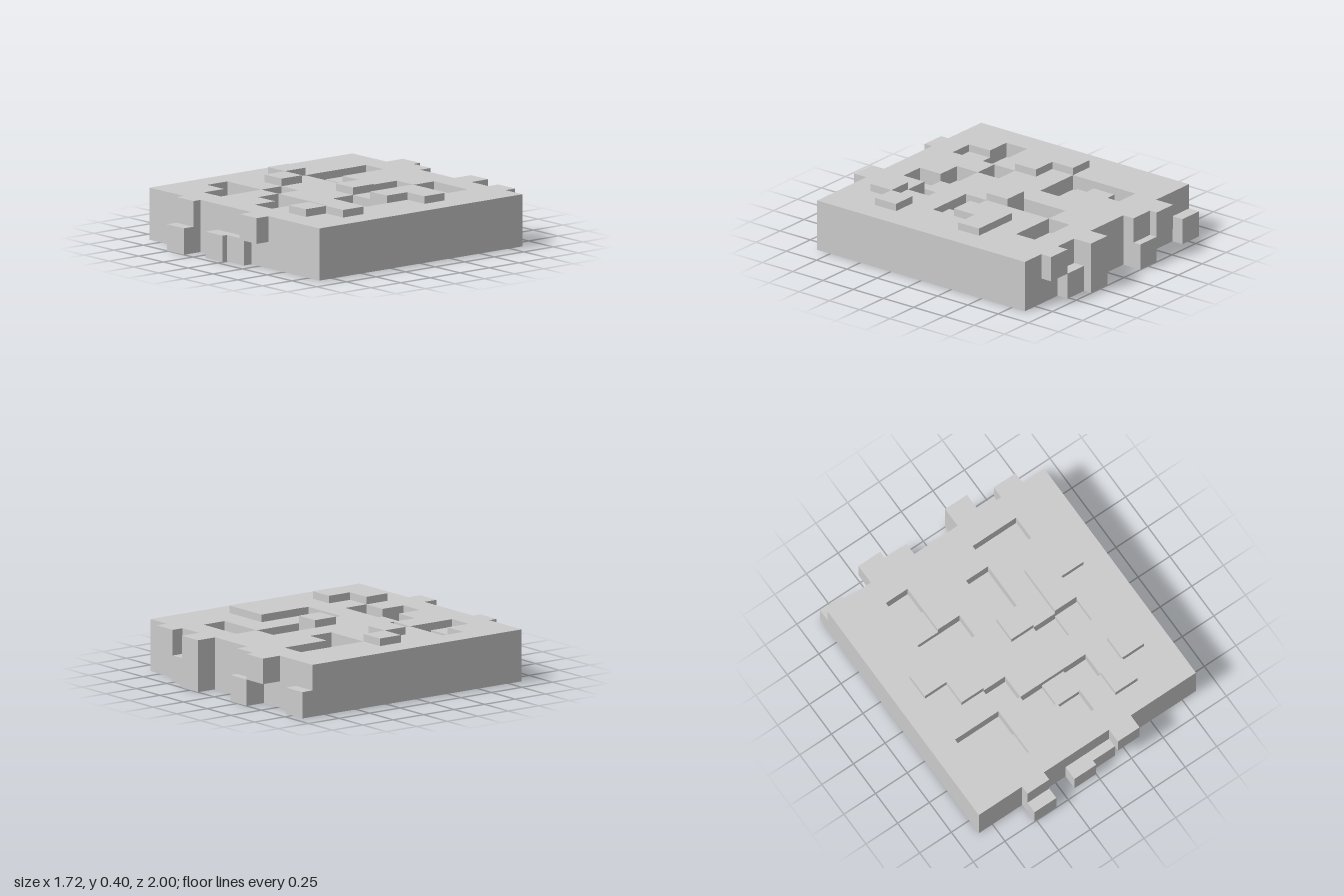
import * as THREE from 'three';

const CELL = 0.1716, N = 10, TOP = 0.345, MID = 0.175;
const HALF = CELL * N / 2;

// Relief of the upper face, back row first: + raised, s shallow, d deep
const LEVEL = { '.': TOP, '+': TOP + 0.05, s: TOP - 0.05, d: TOP - 0.1 };
const RELIEF = [
  '..........',
  '..d...dd..',
  '..s..d....',
  '..dd.d.++.',
  '.+...+.+..',
  '..+...ds..',
  '...d......',
  '.dd.dsd.+.',
  '..s..d.+..',
  '..........',
];

// Edge blocks: [column, bottom, top, depth beyond the slab]
const FRONT = [
  [2, 0, MID, 0.14], [2, MID, TOP, 0.06],
  [4, 0, MID, 0.1], [5, 0, MID, 0.065],
  [6, MID, TOP, 0.1],
];
const BACK = [
  [0, 0, MID, 0.082], [2, MID, TOP, 0.14],
  [3, 0, MID, 0.14], [3, MID, TOP, 0.085],
  [6, 0, TOP, 0.14], [7, 0, MID, 0.082], [8, MID, TOP, 0.082],
];

const heightAt = (i, j) =>
  i < 0 || j < 0 || i >= N || j >= N ? 0 : LEVEL[RELIEF[j][i]];

// Closed slab: a top per cell, and a wall wherever the neighbour is lower
function slabGeometry() {
  const pos = [];
  const quad = (a, b, c, d) => pos.push(...a, ...b, ...c, ...a, ...c, ...d);
  const r = CELL / 2;
  for (let j = 0; j < N; j++) {
    for (let i = 0; i < N; i++) {
      const x = (i + 0.5) * CELL - HALF, z = (j + 0.5) * CELL - HALF;
      const h = heightAt(i, j);
      quad([x - r, h, z + r], [x + r, h, z + r], [x + r, h, z - r], [x - r, h, z - r]);
      for (const [dx, dz] of [[1, 0], [-1, 0], [0, 1], [0, -1]]) {
        const low = heightAt(i + dx, j + dz);
        if (low >= h) continue;
        const ax = x + (dx - dz) * r, az = z + (dz + dx) * r;
        const bx = x + (dx + dz) * r, bz = z + (dz - dx) * r;
        quad([ax, low, az], [bx, low, bz], [bx, h, bz], [ax, h, az]);
      }
    }
  }
  // Underside
  quad([-HALF, 0, -HALF], [HALF, 0, -HALF], [HALF, 0, HALF], [-HALF, 0, HALF]);
  const geo = new THREE.BufferGeometry();
  geo.setAttribute('position', new THREE.Float32BufferAttribute(pos, 3));
  geo.computeVertexNormals();
  return geo;
}

export function createModel() {
  const model = new THREE.Group();
  model.name = 'reliefTile';
  const material = new THREE.MeshStandardMaterial({ color: 0xcccccc, flatShading: true });

  const slab = new THREE.Mesh(slabGeometry(), material);
  slab.name = 'slab';
  model.add(slab);

  // Blocks standing out along the front and back edges
  const addBlocks = (name, list, side) => {
    const group = new THREE.Group();
    group.name = name;
    for (const [col, y0, y1, depth] of list) {
      const block = new THREE.Mesh(new THREE.BoxGeometry(CELL, y1 - y0, depth), material);
      block.name = 'edgeBlock';
      block.position.set((col + 0.5) * CELL - HALF, (y0 + y1) / 2, side * (HALF + depth / 2));
      group.add(block);
    }
    model.add(group);
  };
  addBlocks('frontBlocks', FRONT, 1);
  addBlocks('backBlocks', BACK, -1);
  return model;
}
